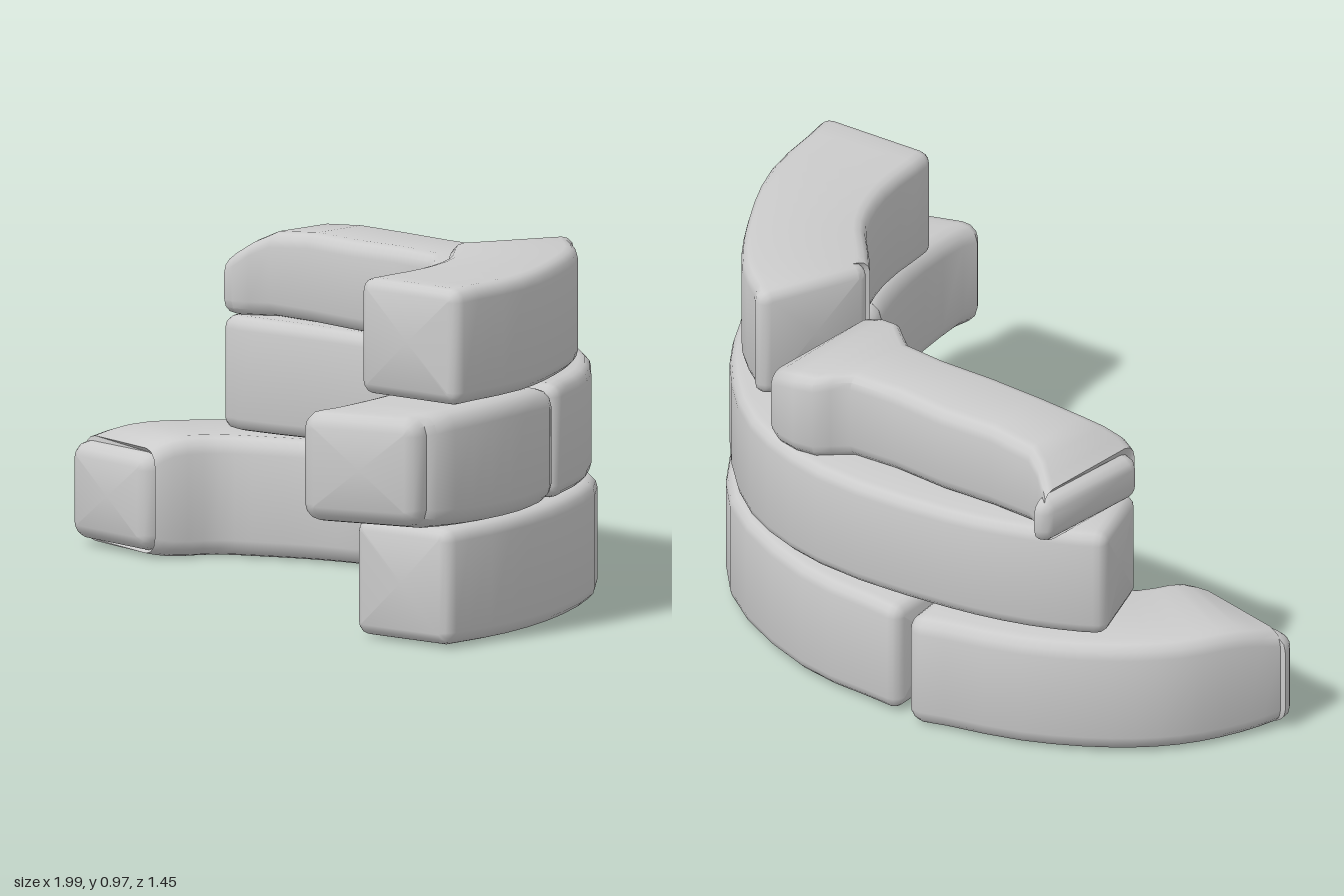
import * as THREE from 'three';
import { toCreasedNormals } from 'three/addons/utils/BufferGeometryUtils.js';

const material = new THREE.MeshStandardMaterial({ color: 0xcccccc });

// Rounded-rectangle cross-section as [across, up] offsets, shrunk by e.
function section(w, h, r, e) {
  const points = [];
  const corners = [[1, 1], [-1, 1], [-1, -1], [1, -1]];
  corners.forEach(([sx, sy], q) => {
    for (let k = 0; k <= 3; k++) {
      const a = (q + k / 3) * Math.PI / 2;
      points.push([
        sx * (w / 2 - r) + (r - e) * Math.cos(a),
        sy * (h / 2 - r) + (r - e) * Math.sin(a),
      ]);
    }
  });
  return points;
}

// Stone lofted through stations [outerX, outerZ, innerX, innerZ, bottom, top].
function stone(name, stations, { bevel = 0.035, steps = 3 } = {}) {
  const outer = new THREE.CatmullRomCurve3(stations.map(s => new THREE.Vector3(s[0], s[4], s[1])));
  const inner = new THREE.CatmullRomCurve3(stations.map(s => new THREE.Vector3(s[2], s[5], s[3])));
  const n = (stations.length - 1) * steps;
  const middle = t => outer.getPoint(t).add(inner.getPoint(t)).multiplyScalar(0.5);
  const positions = [];
  const index = [];
  let ringCount = 0;

  function addRing(t, inset, shift) {
    const o = outer.getPoint(t), i = inner.getPoint(t);
    const mid = o.clone().add(i).multiplyScalar(0.5);
    const across = new THREE.Vector3(i.x - o.x, 0, i.z - o.z);
    const width = across.length();
    across.normalize();
    // Travel direction, square to the cross-section
    const along = new THREE.Vector3(0, 1, 0).cross(across);
    for (const [s, q] of section(width, i.y - o.y, bevel, inset)) {
      const p = mid.clone().addScaledVector(across, s).addScaledVector(along, shift);
      positions.push(p.x, mid.y + q, p.z);
    }
    ringCount++;
  }

  // Rounded start, body, rounded end
  const round = [[0.85, 0], [0.4, 0.2], [0.1, 0.55], [0, 1]];
  for (const [e, d] of round) addRing(0, e * bevel, d * bevel);
  for (let k = 1; k < n; k++) addRing(k / n, 0, 0);
  for (const [e, d] of round.slice().reverse()) addRing(1, e * bevel, -d * bevel);

  const m = 16;
  for (let r = 0; r < ringCount - 1; r++) {
    for (let j = 0; j < m; j++) {
      const a = r * m + j, b = r * m + (j + 1) % m;
      index.push(a, a + m, b + m, a, b + m, b);
    }
  }
  // End caps
  const last = (ringCount - 1) * m;
  const first = middle(0), end = middle(1);
  positions.push(first.x, first.y, first.z, end.x, end.y, end.z);
  const c0 = ringCount * m;
  for (let j = 0; j < m; j++) {
    const k = (j + 1) % m;
    index.push(c0, j, k, c0 + 1, last + k, last + j);
  }

  const geometry = new THREE.BufferGeometry();
  geometry.setAttribute('position', new THREE.Float32BufferAttribute(positions, 3));
  geometry.setIndex(index);
  const mesh = new THREE.Mesh(toCreasedNormals(geometry, 0.75), material);
  mesh.name = name;
  return mesh;
}

export function createModel() {
  const group = new THREE.Group();
  group.name = 'curvedStoneWall';

  // Bottom course
  group.add(stone('bottomRightStone', [
    [-1.0, -0.13, -0.66, -0.07, 0.015, 0.28],
    [-0.93, -0.27, -0.61, -0.13, 0, 0.32],
    [-0.83, -0.43, -0.54, -0.23, 0, 0.325],
    [-0.69, -0.55, -0.42, -0.29, 0, 0.325],
    [-0.47, -0.66, -0.28, -0.34, 0, 0.325],
    [-0.14, -0.735, -0.11, -0.37, 0, 0.325],
  ], { bevel: 0.045 }));
  group.add(stone('bottomLeftStone', [
    [-0.1, -0.71, -0.1, -0.36, 0.005, 0.32],
    [0.25, -0.67, 0.14, -0.31, 0.005, 0.325],
    [0.63, -0.46, 0.39, -0.12, 0.005, 0.325],
    [0.86, -0.1, 0.57, 0.12, 0.005, 0.325],
    [0.97, 0.24, 0.63, 0.32, 0.005, 0.325],
    [0.985, 0.51, 0.65, 0.52, 0.005, 0.32],
  ]));

  // Middle course
  group.add(stone('middleBackStone', [
    [-0.66, -0.54, -0.58, -0.28, 0.335, 0.645],
    [-0.46, -0.62, -0.4, -0.29, 0.335, 0.645],
    [-0.22, -0.665, -0.16, -0.32, 0.335, 0.64],
    [0.2, -0.665, 0.14, -0.3, 0.335, 0.64],
    [0.5, -0.55, 0.33, -0.18, 0.335, 0.645],
    [0.76, -0.28, 0.47, -0.02, 0.335, 0.645],
    [0.9, -0.01, 0.56, 0.12, 0.335, 0.645],
  ]));
  group.add(stone('middleFrontStone', [
    [0.91, 0, 0.57, 0.13, 0.335, 0.645],
    [0.965, 0.18, 0.61, 0.26, 0.325, 0.65],
    [0.995, 0.42, 0.645, 0.46, 0.325, 0.645],
    [0.99, 0.63, 0.65, 0.735, 0.335, 0.635],
  ], { bevel: 0.05 }));

  // Top course
  group.add(stone('topCurvedStone', [
    [0.53, -0.455, 0.39, -0.15, 0.65, 0.965],
    [0.69, -0.32, 0.45, -0.07, 0.65, 0.965],
    [0.83, -0.1, 0.55, 0.06, 0.65, 0.965],
    [0.94, 0.16, 0.61, 0.23, 0.65, 0.965],
    [0.98, 0.475, 0.625, 0.475, 0.65, 0.965],
  ]));
  group.add(stone('topWornStone', [
    [-0.57, -0.69, -0.615, -0.31, 0.65, 0.78],
    [-0.53, -0.65, -0.55, -0.29, 0.645, 0.82],
    [-0.45, -0.6, -0.46, -0.34, 0.645, 0.875],
    [-0.15, -0.585, -0.15, -0.325, 0.64, 0.885],
    [0.16, -0.565, 0.15, -0.305, 0.635, 0.885],
    [0.24, -0.63, 0.24, -0.22, 0.635, 0.88],
    [0.36, -0.62, 0.34, -0.21, 0.635, 0.86],
    [0.445, -0.55, 0.39, -0.21, 0.645, 0.8],
  ], { bevel: 0.04, steps: 2 }));

  return group;
}
